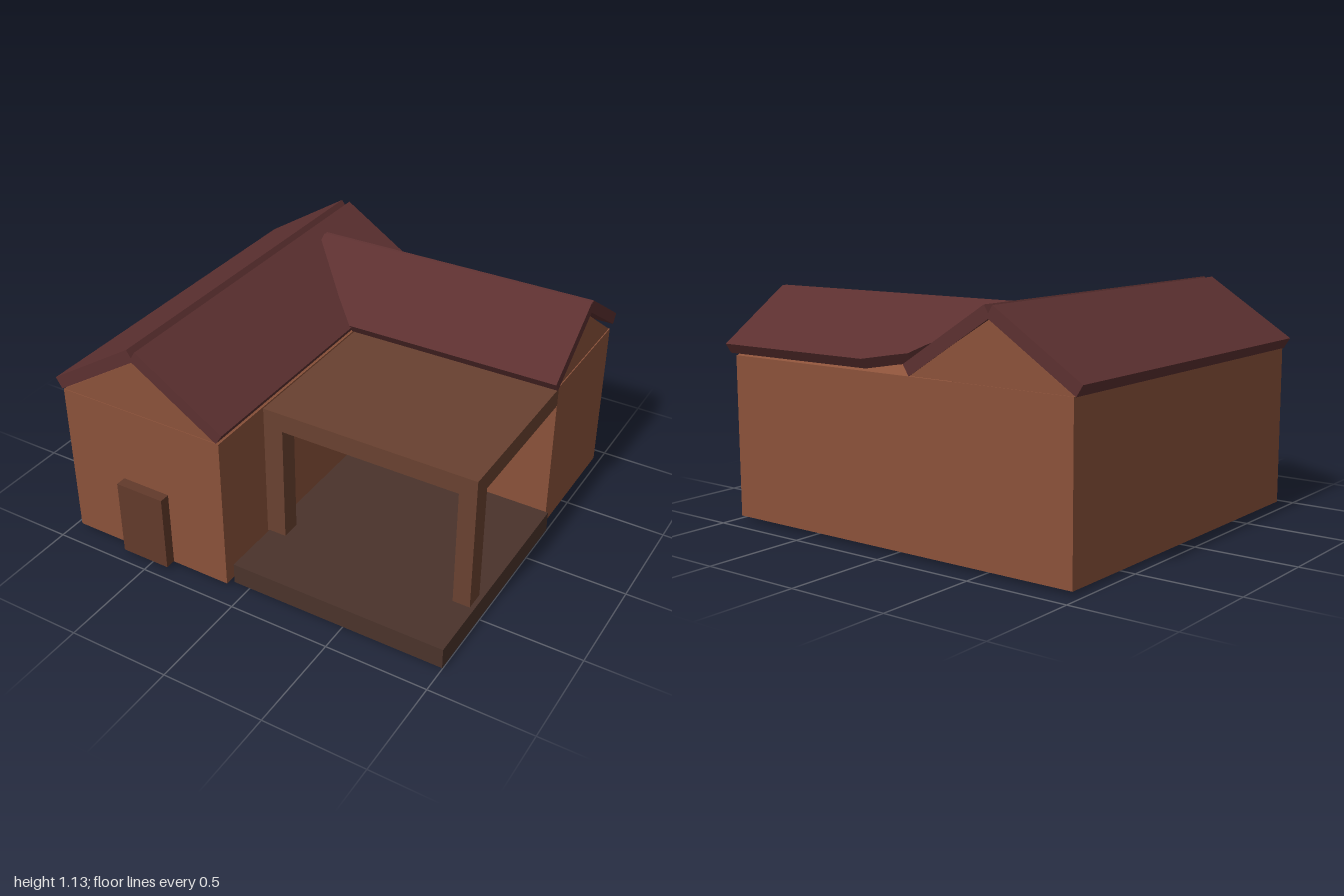
import * as THREE from 'three';

const WALL = 0x8b523a, ROOF = 0x5c3030, FRAME = 0x694130, SLAB = 0x4a332b, DOOR = 0x623a2b;
const V = (x, y, z) => new THREE.Vector3(x, y, z);

function mesh(name, geometry, color) {
  const m = new THREE.Mesh(geometry, new THREE.MeshStandardMaterial({ color, flatShading: true }));
  m.name = name;
  return m;
}

// Box given by its [min, max] range on each axis
function box(name, color, [x0, x1], [y0, y1], [z0, z1]) {
  const m = mesh(name, new THREE.BoxGeometry(x1 - x0, y1 - y0, z1 - z0), color);
  m.position.set((x0 + x1) / 2, (y0 + y1) / 2, (z0 + z1) / 2);
  return m;
}

// Extruded outline; points are [x, y]
function extrude(points, depth) {
  const shape = new THREE.Shape(points.map(([x, y]) => new THREE.Vector2(x, y)));
  return new THREE.ExtrudeGeometry(shape, { depth, bevelEnabled: false });
}

// Roof panel: outline points are [distance along ridge, distance down slope]
function roofPanel(name, ridge, along, down, points, thickness) {
  const y = down.clone().normalize();
  const n = along.clone().cross(y);
  const geo = extrude(points, thickness);
  if (n.y > 0) geo.translate(0, 0, -thickness);
  geo.applyMatrix4(new THREE.Matrix4().makeBasis(along, y, n).setPosition(ridge));
  return mesh(name, geo, ROOF);
}

export function createModel() {
  const house = new THREE.Group();
  house.name = 'house';

  // Main wing, running front to back
  house.add(box('mainWalls', WALL, [-0.96, -0.095], [0.02, 0.8], [-0.903, 0.9]));
  const mainGable = mesh('mainGable', extrude([[-0.96, 0.8], [-0.1, 0.8], [-0.54, 1.07]], 1.795), WALL);
  mainGable.position.z = -0.898;
  house.add(mainGable);
  for (const s of [-1, 1]) {
    house.add(roofPanel(s < 0 ? 'mainRoofRight' : 'mainRoofLeft',
      V(-0.538 + s * 0.022, 1.13, 0), V(0, 0, 1), V(s * 0.44, -0.28, 0),
      [[-0.9, 0], [0.9, 0], [0.9, 0.522], [-0.9, 0.522]], 0.06));
  }

  // Side wing, running across the back
  house.add(box('sideWalls', WALL, [-0.12, 0.975], [0.02, 0.8], [-0.903, -0.273]));
  const sideGable = mesh('sideGable', extrude([[0.275, 0.8], [0.9, 0.8], [0.568, 1.04]], 1.32), WALL);
  sideGable.rotation.y = Math.PI / 2;
  sideGable.position.x = -0.35;
  house.add(sideGable);

  // Side roof, slightly turned, cut where it meets the main roof
  const sideRoof = new THREE.Group();
  sideRoof.name = 'sideRoof';
  sideRoof.position.z = -0.563;
  sideRoof.rotation.y = 0.016;
  sideRoof.add(
    roofPanel('sideRoofFront', V(0, 1.11, 0.01), V(1, 0, 0), V(0, -0.25, 0.375),
      [[-0.45, 0], [0.985, 0], [0.985, 0.45], [-0.09, 0.45], [-0.45, 0.06]], 0.055),
    roofPanel('sideRoofBack', V(0, 1.11, -0.008), V(1, 0, 0), V(0, -0.25, -0.375),
      [[-0.45, 0], [0.985, 0], [0.985, 0.45], [0.13, 0.45], [0, 0.41],
        [-0.09, 0.385], [-0.15, 0.32], [-0.3, 0.2], [-0.45, 0.03]], 0.055));
  house.add(sideRoof);

  // Porch: base, flat cover and two front posts
  house.add(box('porchBase', SLAB, [-0.085, 0.997], [0, 0.105], [-0.245, 0.855]));
  house.add(box('porchCover', FRAME, [-0.094, 0.975], [0.7, 0.793], [-0.275, 0.558]));
  for (const [name, x0, x1] of [['postRight', -0.094, 0.005], ['postLeft', 0.89, 0.975]]) {
    house.add(box(name, FRAME, [x0, x1], [0.1, 0.7], [0.462, 0.558]));
  }

  // Front door
  house.add(box('frontDoor', DOOR, [-0.653, -0.4], [0.022, 0.41], [0.89, 0.952]));
  return house;
}
